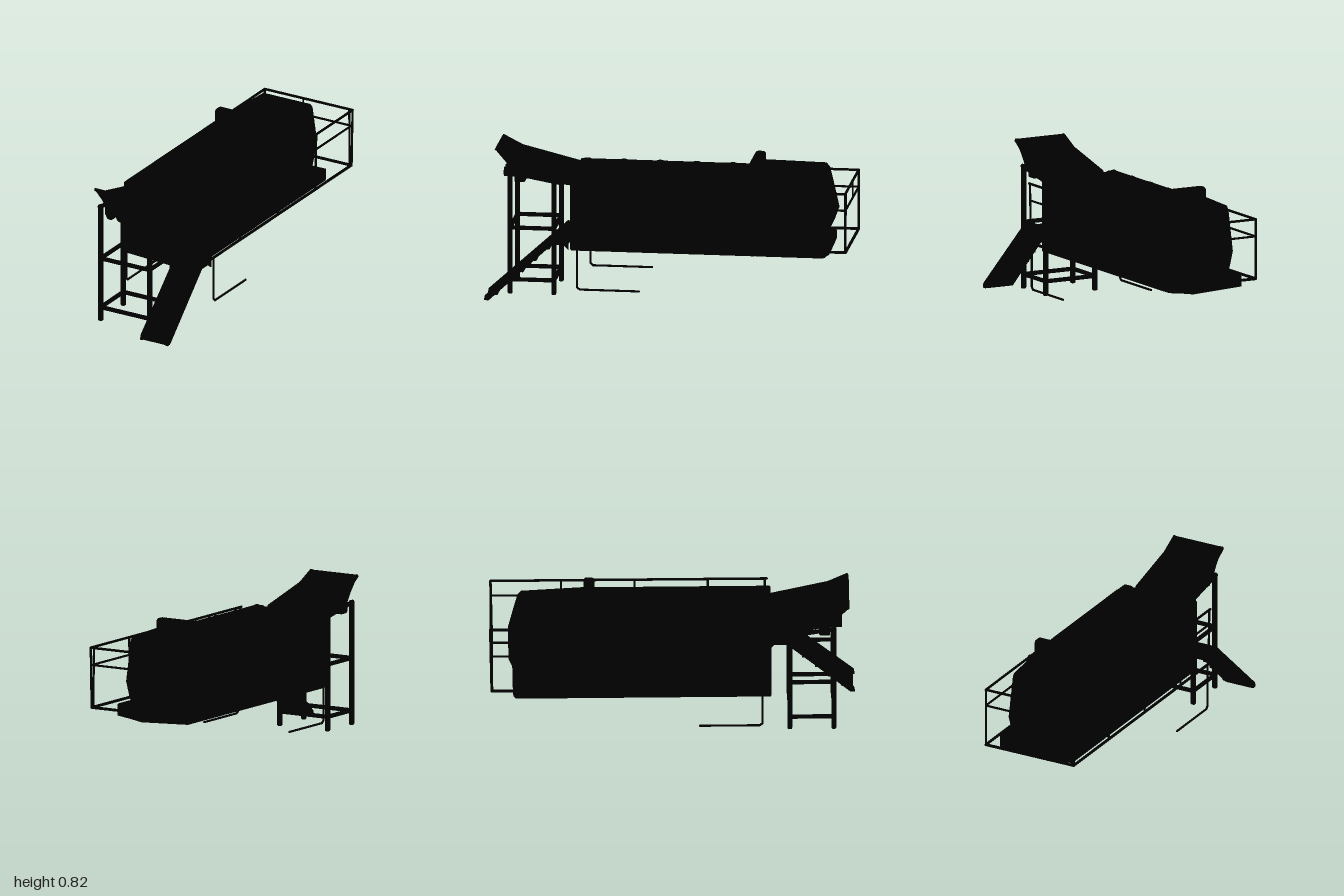
import * as THREE from 'three';
import { RoundedBoxGeometry } from 'three/addons/geometries/RoundedBoxGeometry.js';

const black = new THREE.MeshStandardMaterial({ color: 0x000000 });
const V = (p) => new THREE.Vector3(...p);

export function createModel() {
  const model = new THREE.Group();

  function add(name, geometry, parent = model) {
    const mesh = new THREE.Mesh(geometry, black);
    mesh.name = name;
    parent.add(mesh);
    return mesh;
  }
  function group(name) {
    const g = new THREE.Group();
    g.name = name;
    model.add(g);
    return g;
  }
  // Rounded box given by its two extreme corners
  function box(name, a, b, r, parent) {
    const s = a.map((v, i) => b[i] - v);
    const m = add(name, new RoundedBoxGeometry(...s, 3, Math.min(r, Math.min(...s) / 2.1)), parent);
    m.position.set(...a.map((v, i) => (v + b[i]) / 2));
    return m;
  }
  // Round bar between two points
  function bar(name, a, b, r, parent = model, sides = 12) {
    const p = V(a), q = V(b), d = q.clone().sub(p);
    const m = add(name, new THREE.CylinderGeometry(r, r, d.length(), sides), parent);
    m.position.copy(p).add(q).multiplyScalar(0.5);
    m.quaternion.setFromUnitVectors(new THREE.Vector3(0, 1, 0), d.normalize());
    return m;
  }
  // Chain of bars with ball joints
  function rail(name, points, r, parent) {
    points.forEach((p, i) => {
      if (i) bar(name, points[i - 1], p, r, parent);
      add(name + 'Joint', new THREE.SphereGeometry(r, 10, 8), parent).position.set(...p);
    });
  }
  // Prism from an x-y outline, running along z
  function prism(name, pts, z0, z1, bevel, parent) {
    const shape = new THREE.Shape(pts.map((p) => new THREE.Vector2(...p)));
    const geo = new THREE.ExtrudeGeometry(shape, {
      depth: z1 - z0 - 2 * bevel, bevelEnabled: bevel > 0, bevelThickness: bevel,
      bevelSize: bevel, bevelOffset: -bevel, bevelSegments: 3,
    });
    geo.translate(0, 0, z0 + bevel);
    return add(name, geo, parent);
  }
  // Prism from a z-y outline, running along x
  function sidePrism(name, pts, x0, x1, bevel, parent) {
    const m = prism(name, pts.map(([z, y]) => [-z, y]), x0, x1, bevel, parent);
    m.geometry.rotateY(Math.PI / 2);
    return m;
  }

  // Hopper body: open trough with sloping inner walls
  const body = group('body');
  const keel = [[-0.21, 0.265], [0.09, 0.25], [0.15, 0.26], [0.242, 0.272]];
  prism('trough', [...keel, [0.242, 0.68], [0.195, 0.68], [0.15, 0.6], [-0.12, 0.6], [-0.165, 0.68],
    [-0.21, 0.68]], -0.48, 0.54, 0.008, body);
  box('troughFront', [-0.17, 0.5, 0.46], [0.2, 0.675, 0.54], 0.01, body);
  for (const x of [-0.19, 0.22])
    for (let i = 0; i < 5; i++) {
      const lug = add('rimLug', new THREE.SphereGeometry(0.02, 12, 8), body);
      lug.scale.set(0.8, 0.6, 1.4);
      lug.position.set(x, 0.677, 0.5 - i * 0.2);
    }
  box('crossBlock', [-0.21, 0.56, -0.48], [0.242, 0.757, -0.42], 0.018, body);

  // Rear housing, narrower than the body and pointed at the back, on a base slab
  const rear = group('rearHousing');
  const housing = sidePrism('housing', [[-0.46, 0.33], [-0.83, 0.33], [-0.865, 0.4], [-0.893, 0.475],
    [-0.86, 0.62], [-0.84, 0.7], [-0.82, 0.72], [-0.46, 0.72]], -0.175, 0.205, 0.018, rear);
  // Taper the housing towards the back
  const pos = housing.geometry.attributes.position;
  for (let i = 0; i < pos.count; i++) {
    const t = THREE.MathUtils.clamp((-0.46 - pos.getZ(i)) / 0.4, 0, 1);
    pos.setX(i, 0.015 + (pos.getX(i) - 0.015) * (1 - 0.18 * t));
  }
  housing.geometry.computeVertexNormals();
  const hatch = add('roofHatch', new THREE.SphereGeometry(1, 24, 12), rear);
  hatch.scale.set(0.08, 0.023, 0.075);
  hatch.position.set(0.015, 0.712, -0.72);
  prism('baseSlab', [...keel, [0.242, 0.34], [-0.21, 0.34]], -0.87, -0.46, 0.022, rear);

  // Side pipe and two small drums
  bar('pipe', [-0.19, 0.528, -0.28], [-0.35, 0.528, -0.28], 0.028, model, 24);
  bar('pipeCollar', [-0.19, 0.528, -0.28], [-0.235, 0.528, -0.28], 0.034, model, 24);
  for (const [z0, z1] of [[0.21, 0.32], [0.33, 0.4]])
    bar('sideDrum', [-0.22, 0.53, z0], [-0.22, 0.53, z1], 0.03, model, 20);

  // Feed chute with raised edges and rollers under its lip
  const chute = group('chute');
  const deck = [[0.5, 0.675], [0.5, 0.61], [0.64, 0.625], [0.87, 0.685], [0.9, 0.73], [0.965, 0.806],
    [0.957, 0.818], [0.85, 0.75]];
  sidePrism('chuteDeck', deck, -0.135, 0.16, 0.006, chute);
  const edge = [[0.53, 0.685], [0.53, 0.66], [0.85, 0.73], [0.965, 0.806], [0.957, 0.82], [0.85, 0.765]];
  sidePrism('chuteEdge', edge, -0.143, -0.125, 0.004, chute);
  sidePrism('chuteEdge', edge, 0.15, 0.17, 0.004, chute);
  box('rollerHousing', [-0.14, 0.62, 0.8], [0.145, 0.7, 0.86], 0.01, chute);
  for (const x of [-0.065, 0, 0.065])
    bar('roller', [x, 0.66, 0.83], [x, 0.66, 0.925], 0.026, chute, 20);

  // Four-legged support frame
  const frame = group('supportFrame');
  const legs = [[-0.15, 0.88], [-0.15, 0.64], [0.16, 0.64], [0.16, 0.88]];
  legs.forEach(([x, z], i) => {
    const [nx, nz] = legs[(i + 1) % 4];
    box('leg', [x - 0.013, 0, z - 0.013], [x + 0.013, z > 0.8 ? 0.69 : 0.64, z + 0.013], 0.008, frame);
    for (const y of [0.08, 0.37]) bar('crossBar', [x, y, z], [nx, y, nz], 0.012, frame);
  });
  for (const x of [-0.152, 0.162])
    bar('topRail', [x, 0.63, 0.61], [x, 0.68, 0.89], 0.012, frame);

  // Stairs: stringers, sloping plates parted by two slots, step noses and a landing
  const stairs = group('stairs');
  const zAt = (y) => 0.985 - (y - 0.003) * 1.08;
  const stringer = [[1.0, 0.003], [0.995, 0.03], [0.56, 0.425], [0.535, 0.42], [0.535, 0.3], [0.56, 0.325],
    [0.635, 0.325], [0.975, 0.003]];
  for (const x of [0.17, 0.33]) sidePrism('stringer', stringer, x, x + 0.018, 0.003, stairs);
  for (const [y0, y1] of [[0.003, 0.155], [0.161, 0.228], [0.234, 0.4]])
    sidePrism('stairPlate', [[zAt(y0) + 0.006, y0], [zAt(y1) + 0.006, y1], [zAt(y1) - 0.012, y1],
      [zAt(y0) - 0.012, y0]], 0.18, 0.338, 0, stairs);
  for (let i = 0; i < 6; i++) {
    const y = 0.04 + i * 0.066;
    box('stepNose', [0.18, y - 0.008, zAt(y) - 0.02], [0.338, y + 0.008, zAt(y) + 0.014], 0.004, stairs);
  }
  box('landing', [0.18, 0.335, 0.53], [0.345, 0.42, 0.57], 0.006, stairs);

  // Guard rails around both sides and the back, lower bars set slightly inward
  const guard = group('guardRail');
  const L = 0.333, R = -0.224, B = -0.985;
  for (const [y, x, r] of [[0.66, L, 0.007], [0.565, 0.325, 0.006], [0.33, 0.325, 0.008]])
    rail('guardBar', [[x, y, 0.52], [x, y, B], [R, y, B], [R, y, 0.48]], r, guard);
  for (const z of [0.51, 0.2, -0.2, -0.6, B])
    bar('guardPost', [0.327, 0.33, z], [L, 0.66, z], 0.006, guard);
  bar('guardPost', [0.316, 0.33, B], [0.312, 0.66, B], 0.006, guard);
  for (const z of [0.48, B]) bar('guardPost', [R, 0.33, z], [R, 0.66, z], 0.006, guard);
  bar('guardPost', [0.02, 0.565, B], [0.02, 0.66, B], 0.005, guard);

  // Bent rods hanging below each side
  for (const x of [L, -0.221])
    rail('hangingRod', [[x, 0.34, 0.49], [x, 0.09, 0.49], [x, 0.077, 0.475], [x, 0.077, 0.15]], 0.006, guard);

  return model;
}
